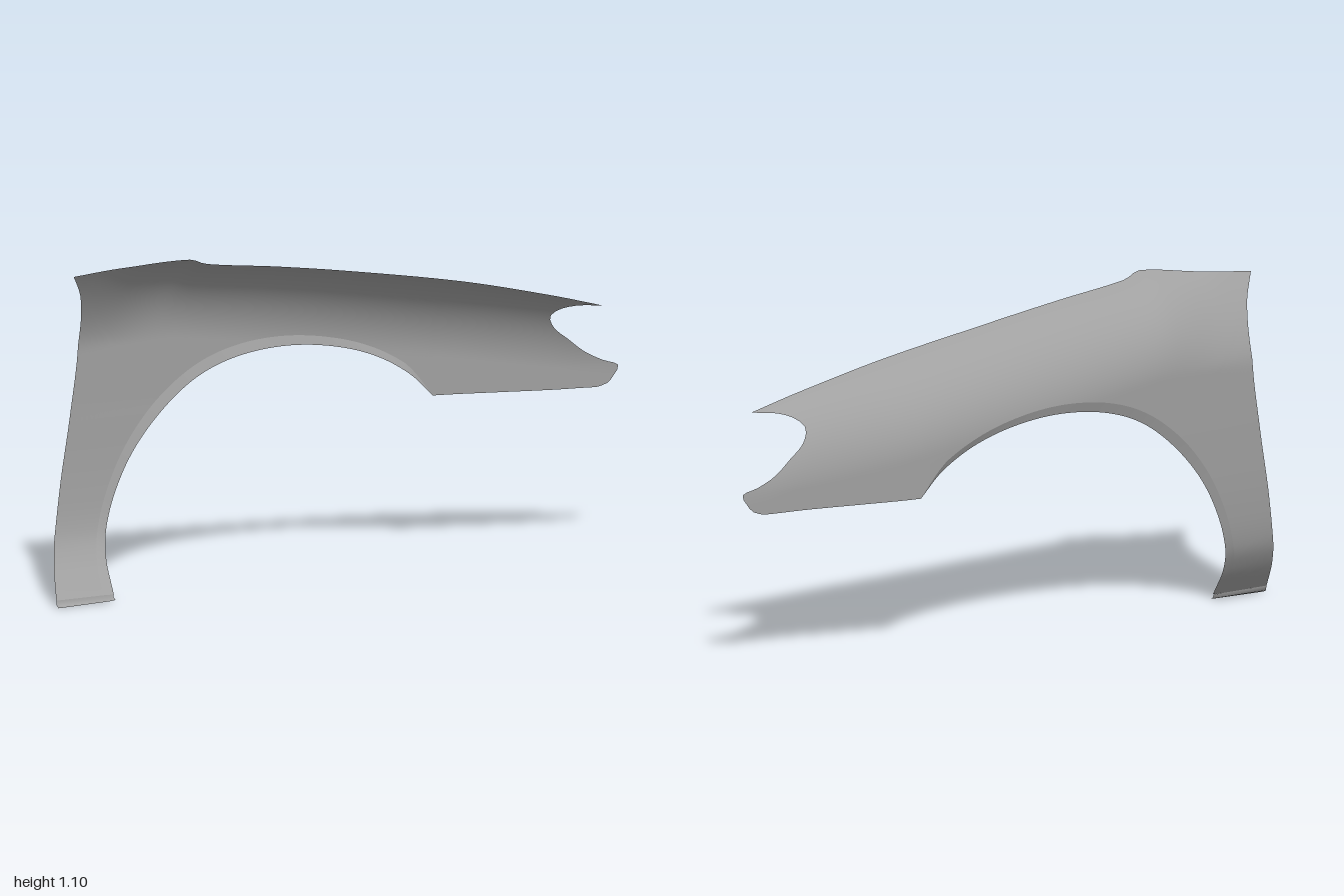
import * as THREE from 'three';

// Smooth interpolation through [position, value] pairs
function smooth(points) {
  const slope = (i) => {
    const a = points[Math.max(0, i - 1)], b = points[Math.min(points.length - 1, i + 1)];
    return (b[1] - a[1]) / (b[0] - a[0]);
  };
  return (x) => {
    const n = points.length - 1;
    if (x <= points[0][0]) return points[0][1];
    if (x >= points[n][0]) return points[n][1];
    let i = 0;
    while (points[i + 1][0] < x) i++;
    const [x0, y0] = points[i], [x1, y1] = points[i + 1];
    const h = x1 - x0, t = (x - x0) / h, t2 = t * t, t3 = t2 * t;
    return y0 * (2 * t3 - 3 * t2 + 1) + y1 * (3 * t2 - 2 * t3)
      + h * (slope(i) * (t3 - 2 * t2 + t) + slope(i + 1) * (t3 - t2));
  };
}

const curve = (pts) => new THREE.CatmullRomCurve3(pts.map(([x, y]) => new THREE.Vector3(x, y, 0)));

// Body surface: depth of the widest line, depth and height of the top edge, tuck-in of the leg
const topY = smooth([[-0.93, 1.068], [-0.75, 1.086], [-0.56, 1.104], [-0.5, 1.083], [-0.25, 1.05], [0, 1.012],
  [0.4, 0.942], [0.7, 0.872], [0.88, 0.823]]);
const topZ = smooth([[-0.93, -0.025], [-0.8, -0.01], [-0.7, 0.018], [-0.56, 0.065], [-0.5, 0.06], [0, 0.078],
  [0.45, 0.112], [0.88, 0.155]]);
const sideZ = smooth([[-1, -0.155], [-0.4, -0.155], [0, -0.142], [0.3, -0.122], [0.45, -0.1], [0.6, -0.062],
  [0.78, -0.015], [0.9, 0.006], [1, 0.03]]);
const legTuck = smooth([[0.02, 0.146], [0.05, 0.121], [0.12, 0.066], [0.2, 0.027], [0.35, 0.008], [0.6, 0]]);

function surfaceZ(x, y) {
  const shoulder = 0.8 - 0.16 * Math.max(0, x + 0.5);
  const t = THREE.MathUtils.clamp((y - shoulder) / (topY(x) - shoulder), 0, 1);
  const round = (1 - Math.sqrt(1 - 0.9025 * t * t)) / 0.6878;
  // The crown leans in more steadily towards the rear corner
  const lean = 1 - THREE.MathUtils.smoothstep(x, -0.85, -0.55);
  const crown = THREE.MathUtils.lerp(round, Math.pow(t, 1.6), lean);
  const tuck = x < 0 ? legTuck(y) : 0;
  return THREE.MathUtils.lerp(sideZ(x), topZ(x), crown) + tuck;
}

// Outline curves
const rearEdge = curve([[-1, 0.022], [-0.945, 0.2], [-0.908, 0.4], [-0.873, 0.6], [-0.847, 0.8], [-0.85, 0.9],
  [-0.88, 0.995], [-0.93, 1.068]]);
const wheelArch = curve([[-0.795, 0.022], [-0.78, 0.13], [-0.735, 0.29], [-0.66, 0.44], [-0.55, 0.57],
  [-0.42, 0.668], [-0.28, 0.719], [-0.1, 0.737], [0.08, 0.715], [0.22, 0.668], [0.33, 0.6], [0.405, 0.527]]);
const noseEdge = curve([[0.93, 0.524], [0.965, 0.536], [0.985, 0.56], [1, 0.592], [0.95, 0.612], [0.89, 0.643],
  [0.83, 0.69], [0.775, 0.735], [0.752, 0.78], [0.77, 0.805], [0.81, 0.82], [0.88, 0.823]]);

// Grid of points (columns of equal length) to a smooth surface, outside towards -z
function skin(name, columns, material) {
  const rows = columns[0].length, index = [];
  for (let i = 0; i < columns.length - 1; i++) {
    for (let j = 0; j < rows - 1; j++) {
      const a = i * rows + j, b = a + rows;
      index.push(a, a + 1, b, b, a + 1, b + 1);
    }
  }
  const geometry = new THREE.BufferGeometry().setFromPoints(columns.flat());
  geometry.setIndex(index);
  geometry.computeVertexNormals();
  const mesh = new THREE.Mesh(geometry, material);
  mesh.name = name;
  return mesh;
}

export function createModel() {
  const group = new THREE.Group();
  group.name = 'fender';
  const material = new THREE.MeshStandardMaterial({ color: 0xa0a0a0, side: THREE.DoubleSide });
  const ROWS = 32, LEG = 36, REAR = 14, MID = 44, NOSE = 30, ARCH = LEG + REAR + MID;
  const onSurface = (p) => new THREE.Vector3(p.x, p.y, surfaceZ(p.x, p.y));
  const topPoint = (x) => new THREE.Vector3(x, topY(x), 0);
  const { lerp } = THREE.MathUtils;

  // Panel around the wheel arch: columns run from the arch out to the rear and top edges
  const panel = [], lip = [];
  for (let i = 0; i <= ARCH; i++) {
    let outer, s;
    if (i <= LEG) {
      const t = i / LEG;
      outer = rearEdge.getPointAt(t);
      s = t * 4 / 11;
    } else if (i <= LEG + REAR) {
      const t = (i - LEG) / REAR;
      outer = topPoint(lerp(-0.93, -0.56, t));
      s = (4 + t) / 11;
    } else {
      const t = (i - LEG - REAR) / MID;
      outer = topPoint(lerp(-0.56, 0.4, t));
      s = (5 + 6 * t) / 11;
    }
    const arch = wheelArch.getPoint(s);
    const width = 0.034 * Math.min(1, (ARCH - i) / 8);
    const inset = arch.clone().add(outer.clone().sub(arch).setLength(width));
    panel.push(Array.from({ length: ROWS + 1 }, (_, j) => onSurface(inset.clone().lerp(outer, j / ROWS))));
    // Bevelled lip, turned slightly inwards at the arch and fading out down the leg
    const edge = onSurface(arch);
    edge.z += width * lerp(0.12, 0.32, Math.min(1, i / LEG));
    lip.push([edge, onSurface(inset)]);
  }

  // Nose: straight columns that bend gradually into the lamp cut-out
  const low0 = wheelArch.getPoint(1), low1 = noseEdge.getPoint(0), high1 = topPoint(0.88);
  for (let i = 1; i <= NOSE; i++) {
    const u = i / NOSE;
    const low = low0.clone().lerp(low1, u), high = topPoint(lerp(0.4, 0.88, u));
    panel.push(Array.from({ length: ROWS + 1 }, (_, j) => {
      const v = j / ROWS;
      const bend = noseEdge.getPointAt(v).sub(low1.clone().lerp(high1, v));
      return onSurface(low.clone().lerp(high, v).addScaledVector(bend, u * u));
    }));
  }
  group.add(skin('fenderPanel', panel, material), skin('archLip', lip, material));

  // Small folded flange at the foot of the leg
  const foot = [-1, -0.81, -0.795].map((x, i) => [
    new THREE.Vector3(x, [0, 0.004, 0.006][i], 0.004),
    new THREE.Vector3(x, [0.006, 0.008, 0.012][i], -0.008),
    new THREE.Vector3(x, 0.022, surfaceZ(x, 0.022)),
  ]);
  group.add(skin('footFlange', foot, material));
  return group;
}
